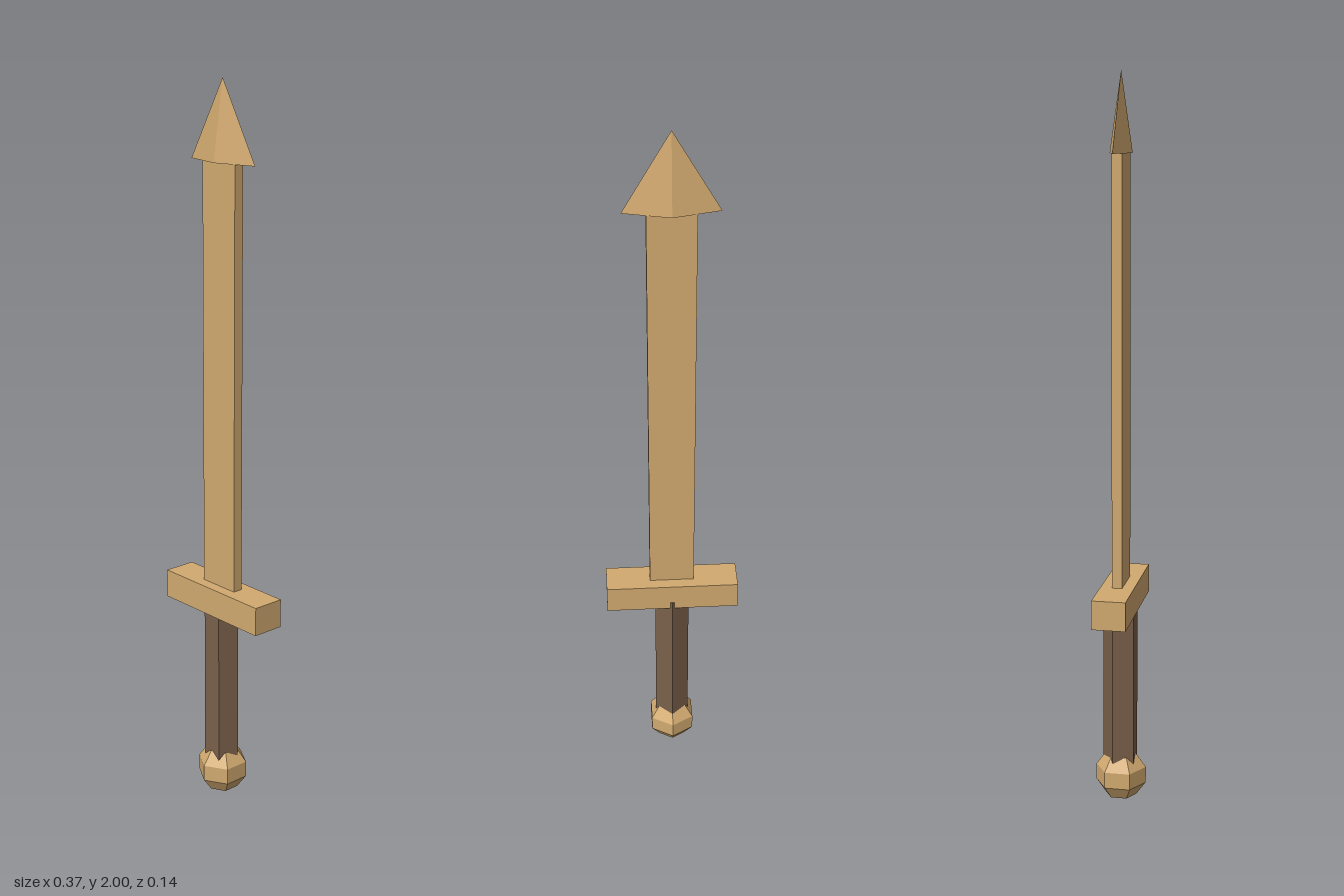
import * as THREE from 'three';

export function createModel() {
  const model = new THREE.Group();
  const paleWood = new THREE.MeshStandardMaterial({ color: 0xd2aa70, flatShading: true });
  paleWood.name = 'pale wood';
  const darkWood = new THREE.MeshStandardMaterial({ color: 0x7a604a, flatShading: true });
  darkWood.name = 'dark wood';

  const add = (name, geometry, material, y) => {
    const mesh = new THREE.Mesh(geometry, material);
    mesh.name = name;
    mesh.position.y = y;
    model.add(mesh);
    return mesh;
  };

  // Faceted pommel, corners pointing front and back
  add('pommel', new THREE.SphereGeometry(0.074, 6, 5).rotateY(Math.PI / 2), paleWood, 0.074);

  // Five-sided grip, flat side to the front, back corner just behind the guard
  add('grip', new THREE.CylinderGeometry(0.05, 0.05, 0.495, 5).rotateY(Math.PI), darkWood, 0.3275);

  // Crossguard and flat blade
  add('crossguard', new THREE.BoxGeometry(0.37, 0.08, 0.092), paleWood, 0.594);
  add('blade', new THREE.BoxGeometry(0.124, 1.2, 0.028), paleWood, 1.194);

  // Flattened four-sided arrow tip
  add('tip', new THREE.ConeGeometry(0.122, 0.21, 4).scale(1, 1, 0.25), paleWood, 1.895);

  return model;
}
